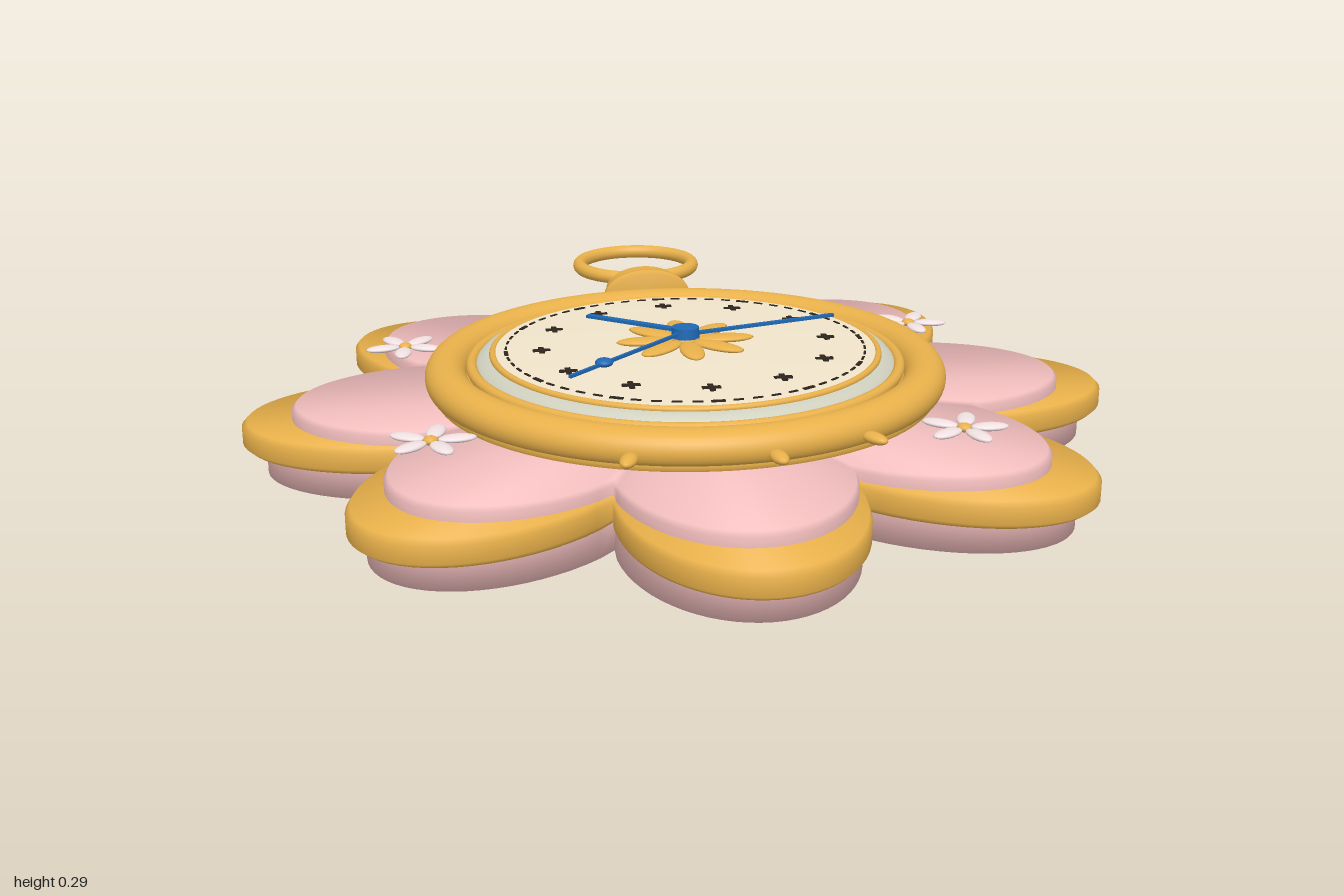
import * as THREE from 'three';

const mat = (color) => new THREE.MeshStandardMaterial({ color, side: THREE.DoubleSide });
const gold = mat(0xe8b04a), pink = mat(0xf0bcbc), cream = mat(0xf0e4ca);
const blue = mat(0x1f68b4), ink = mat(0x2c241c), white = mat(0xf0e0e2), silver = mat(0xd0d0c0);

// Eight-petal slab; each section is [inset, height, normal tilt in radians]
function petalSlab(tip, notch, sections) {
  const N = 256, pos = [], nor = [], idx = [];
  const point = (i, inset) => {
    const a = (i / N) * Math.PI * 2;
    const r = notch + (tip - notch) * Math.pow(Math.abs(Math.cos(4 * a)), 0.85) - inset;
    return [r * Math.sin(a), r * Math.cos(a)];
  };
  for (const [inset, y, tilt] of sections) {
    for (let i = 0; i < N; i++) {
      const [x, z] = point(i, inset), p = point(i - 1, inset), q = point(i + 1, inset);
      const dx = q[0] - p[0], dz = q[1] - p[1], l = Math.hypot(dx, dz), c = Math.cos(tilt);
      pos.push(x, y, z);
      nor.push((-dz / l) * c, Math.sin(tilt), (dx / l) * c);
    }
  }
  const last = sections.length - 1, bottom = pos.length / 3, top = bottom + 1;
  pos.push(0, sections[0][1], 0, 0, sections[last][1], 0);
  nor.push(0, -1, 0, 0, 1, 0);
  for (let i = 0; i < N; i++) {
    const j = (i + 1) % N;
    for (let s = 0; s < last; s++) {
      const a = s * N + i, b = s * N + j;
      idx.push(a, b, b + N, a, b + N, a + N);
    }
    idx.push(bottom, j, i, top, last * N + i, last * N + j);
  }
  const g = new THREE.BufferGeometry();
  g.setAttribute('position', new THREE.Float32BufferAttribute(pos, 3));
  g.setAttribute('normal', new THREE.Float32BufferAttribute(nor, 3));
  g.setIndex(idx);
  return g;
}

const lathe = (pts) => new THREE.LatheGeometry(pts.map((p) => new THREE.Vector2(...p)), 96);
const dialY = (r) => 0.252 - 0.06 * r * r;

export function createModel() {
  const model = new THREE.Group();
  const add = (name, geo, material, x = 0, y = 0, z = 0, parent = model) => {
    const m = new THREE.Mesh(geo, material);
    m.name = name;
    m.position.set(x, y, z);
    parent.add(m);
    return m;
  };

  // Petal-shaped case layers
  add('backPetals', petalSlab(0.95, 0.63, [[0, 0, -0.7], [0, 0.07, 0]]), pink);
  add('petalRim', petalSlab(1, 0.645, [[0.012, 0.062, -1], [0, 0.072, -0.2], [0, 0.108, 0.2], [0.012, 0.12, 0.9]]), gold);
  add('frontPetals', petalSlab(0.89, 0.635, [[0, 0.115, 0], [0, 0.14, 0.2], [0.01, 0.15, 0.95]]), pink);

  // Round bezel with an inner stepped groove
  add('bezelBase', lathe([[0, 0.14], [0.57, 0.14], [0.575, 0.16], [0.57, 0.19]]), gold);
  const bezel = [];
  for (let i = 0; i <= 20; i++) {
    const a = -0.6 + (i / 20) * (Math.PI + 0.6);
    bezel.push([0.547 + 0.047 * Math.cos(a), 0.192 + 0.042 * Math.sin(a)]);
  }
  add('bezel', lathe([[0.56, 0.155], ...bezel, [0.49, 0.19]]), gold);
  const torus = (r, t, seg = 96) => new THREE.TorusGeometry(r, t, 12, seg).rotateX(Math.PI / 2);
  add('innerRing', torus(0.488, 0.013), gold, 0, 0.212);
  add('glassRim', lathe([[0.48, 0.215], [0.468, 0.228], [0.45, 0.234], [0.435, 0.234]]), silver);
  add('dialRing', torus(0.44, 0.008), gold, 0, 0.236);

  // Domed dial
  const dome = [];
  for (let i = 0; i <= 12; i++) dome.push([0.44 * (1 - i / 12), dialY(0.44 * (1 - i / 12))]);
  add('dial', lathe(dome), cream);

  // Minute track and plain hour marks
  for (let i = 0; i < 60; i++) {
    const a = (i / 60) * Math.PI * 2, hour = i % 5 === 0;
    const dash = add('minuteMark', new THREE.BoxGeometry(hour ? 0.03 : 0.022, 0.003, hour ? 0.009 : 0.005), ink,
      0.41 * Math.sin(a), dialY(0.41) + 0.001, 0.41 * Math.cos(a));
    dash.rotation.y = a;
    if (!hour) continue;
    const x = 0.33 * Math.sin(a), z = 0.33 * Math.cos(a), y = dialY(0.33) + 0.001;
    add('hourMark', new THREE.BoxGeometry(0.04, 0.004, 0.012), ink, x, y, z);
    add('hourMark', new THREE.BoxGeometry(0.012, 0.004, 0.042), ink, x, y, z);
  }

  // Flower of ellipsoid petals around a small centre
  const blossom = (name, x, y, z, count, len, width, thick, material, core, turn = 0) => {
    const g = new THREE.Group();
    g.name = name;
    g.position.set(x, y, z);
    g.rotation.y = turn;
    for (let i = 0; i < count; i++) {
      const a = (i / count) * Math.PI * 2;
      const p = add('petal', new THREE.SphereGeometry(1, 16, 10), material,
        Math.sin(a) * len * 0.57, 0, Math.cos(a) * len * 0.57, g);
      p.scale.set(width, thick, len * 0.43);
      p.rotation.y = a;
    }
    add('flowerCentre', new THREE.SphereGeometry(core, 16, 10), gold, 0, 0, 0, g).scale.y = 0.6;
    model.add(g);
  };
  blossom('dialFlower', 0, 0.256, 0, 8, 0.16, 0.027, 0.009, gold, 0.035);
  [[0.625, -0.305, 0.1], [-0.635, -0.3, -0.1], [-0.59, 0.385, 0.4], [0.505, 0.49, 0.25]].forEach(([x, z, t]) =>
    blossom('smallFlower', x, 0.183, z, 5, 0.095, 0.02, 0.008, white, 0.016, t));

  // Hands
  const hand = (name, x, z, tail, width, y) => {
    const len = Math.hypot(x, z), ux = x / len, uz = z / len, mid = (len - tail) / 2;
    const m = add(name, new THREE.BoxGeometry(width, 0.007, len + tail), blue, ux * mid, y, uz * mid);
    m.rotation.y = Math.atan2(x, z);
  };
  hand('hourHand', -0.205, -0.165, 0, 0.017, 0.277);
  hand('minuteHand', 0.375, -0.105, 0, 0.011, 0.269);
  hand('secondHand', -0.295, 0.295, 0.04, 0.007, 0.275);
  add('secondHandBead', new THREE.SphereGeometry(0.02, 20, 12), blue, -0.213, 0.277, 0.213).scale.y = 0.5;
  add('handHub', new THREE.CylinderGeometry(0.031, 0.033, 0.03, 32), blue, 0, 0.272, 0);

  // Studs on the lower edge of the bezel
  [[-0.21, 0.575], [0.085, 0.605], [0.3, 0.53]].forEach(([x, z]) => {
    const s = add('bezelStud', new THREE.SphereGeometry(1, 16, 10), gold, x, 0.186, z);
    s.scale.set(0.018, 0.012, 0.036);
    s.rotation.y = Math.atan2(x, z);
  });

  // Crown stem, ribs and hanging ring
  const stem = add('crownStem', lathe([[0, -0.06], [0.1, -0.06], [0.112, -0.045], [0.112, -0.032], [0.1, -0.025],
    [0.1, 0.03], [0.088, 0.042], [0, 0.042]]), gold, 0, 0.207, -0.645);
  stem.rotation.x = -Math.PI / 2;
  stem.scale.set(1, 1, 0.58);
  for (let i = -2; i <= 2; i++) {
    const rib = add('crownRib', new THREE.TorusGeometry(0.027, 0.015, 12, 28), gold, i * 0.033, 0.2, -0.725);
    rib.rotation.y = Math.PI / 2;
  }
  add('hangingRing', torus(0.154, 0.018, 64), gold, 0, 0.235, -0.822);
  return model;
}
